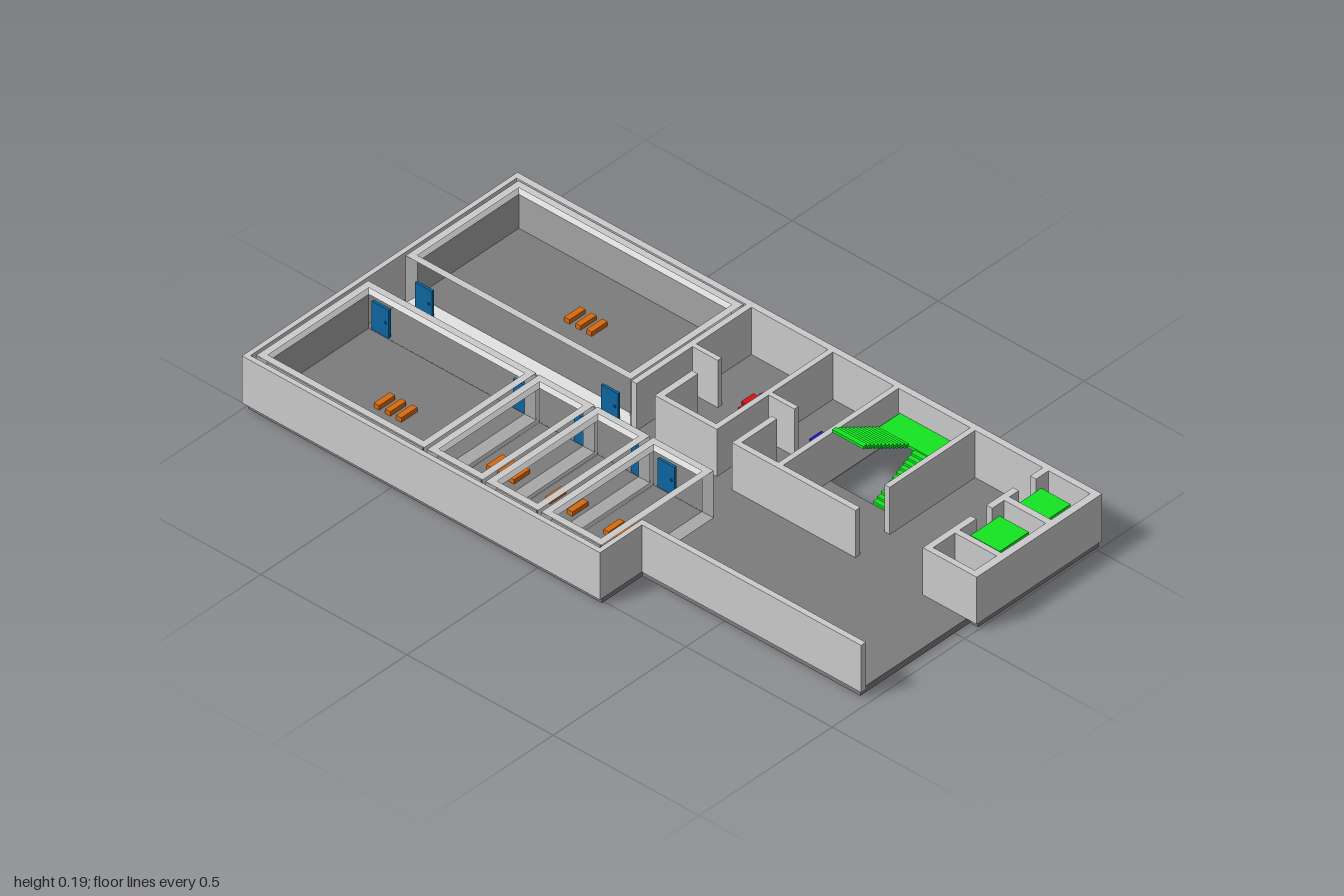
import * as THREE from 'three';

const mat = (color, side = THREE.FrontSide) => new THREE.MeshStandardMaterial({ color, side, flatShading: true });
const grey = mat(0xcccccc), greyThin = mat(0xcccccc, THREE.DoubleSide);
const floorMat = mat(0x7c7c7c), panelMat = mat(0xa4a4a4);
const green = mat(0x14e622), blue = mat(0x0c66a0), orange = mat(0xd96a0c);
const FLOOR = 0.02, TOP = 0.17;

// Box given by its limits on each axis
function block(name, [x0, x1], [y0, y1], [z0, z1], material) {
  const mesh = new THREE.Mesh(new THREE.BoxGeometry(x1 - x0, y1 - y0, z1 - z0), material);
  mesh.position.set((x0 + x1) / 2, (y0 + y1) / 2, (z0 + z1) / 2);
  mesh.name = name;
  return mesh;
}

// Mitred frame: twelve slanted strips joining a box's outer edges to its inner edges
function mitredFrame(w, h, d, t) {
  const half = [w / 2, h / 2, d / 2], pos = [];
  for (let k = 0; k < 3; k++) {
    const i = (k + 1) % 3, j = (k + 2) % 3;
    for (const si of [-1, 1]) for (const sj of [-1, 1]) {
      const corner = (sk, inset) => {
        const p = [0, 0, 0];
        p[k] = sk * (half[k] - inset);
        p[i] = si * (half[i] - inset);
        p[j] = sj * (half[j] - inset);
        return p;
      };
      const a = corner(-1, 0), b = corner(1, 0), c = corner(1, t), e = corner(-1, t);
      pos.push(...a, ...b, ...c, ...a, ...c, ...e);
    }
  }
  const geo = new THREE.BufferGeometry();
  geo.setAttribute('position', new THREE.Float32BufferAttribute(pos, 3));
  geo.computeVertexNormals();
  return geo;
}

// Flat rim closing the top of a room frame
function topRim(w, d, t) {
  const rect = (a, b) => [[-a, -b], [a, -b], [a, b], [-a, b]].map(([x, y]) => new THREE.Vector2(x, y));
  const shape = new THREE.Shape(rect(w / 2, d / 2));
  shape.holes.push(new THREE.Path(rect(w / 2 - t, d / 2 - t)));
  return new THREE.ShapeGeometry(shape).rotateX(-Math.PI / 2);
}

// Room: open mitred frame, floor, panels against the outer walls, and a plain marker of three bars
function room([x0, x1], [z0, z1], markX, markZ, outerSide, hasBack) {
  const g = new THREE.Group(), t = 0.021, thin = 0.004;
  const w = x1 - x0, d = z1 - z0, cx = (x0 + x1) / 2, cz = (z0 + z1) / 2;
  const frame = new THREE.Mesh(mitredFrame(w, TOP - FLOOR, d, t), greyThin);
  frame.name = 'roomFrame';
  frame.position.set(cx, (FLOOR + TOP) / 2, cz);
  const rim = new THREE.Mesh(topRim(w, d, t), greyThin);
  rim.name = 'roomRim';
  rim.position.set(cx, TOP, cz);
  g.add(frame, rim);

  const xs = [x0 + t, x1 - t], ys = [FLOOR + t, TOP - t], zs = [z0 + t, z1 - t];
  g.add(block('roomFloor', xs, [ys[0] - thin, ys[0]], zs, floorMat));
  const px = outerSide < 0 ? xs[0] - thin : xs[1];
  g.add(block('sidePanel', [px, px + thin], ys, zs, panelMat));
  if (hasBack) g.add(block('backPanel', xs, ys, [zs[0] - thin, zs[0]], panelMat));

  for (const k of [-1, 0, 1]) {
    const z = markZ + k * 0.038;
    g.add(block('floorMarker', [markX - 0.03, markX + 0.03], [ys[0], 0.055], [z - 0.009, z + 0.009], orange));
  }
  g.name = 'room';
  return g;
}

// Flat figure lying on the floor, head towards +x
function figure(z, color) {
  const g = new THREE.Group(), m = mat(color);
  g.add(
    block('figureLegs', [0.3, 0.34], [0.02, 0.03], [z - 0.01, z + 0.01], m),
    block('figureBody', [0.325, 0.37], [0.02, 0.03], [z - 0.022, z + 0.022], m));
  const head = new THREE.Mesh(new THREE.CylinderGeometry(0.01, 0.01, 0.01, 16), m);
  head.position.set(0.38, 0.025, z);
  head.name = 'figureHead';
  g.add(head);
  g.name = 'floorFigure';
  return g;
}

function floorSlab() {
  // Shape y is -z so that the extrusion points up after rotation
  const outline = [[-0.508, -0.99], [0.513, -0.99], [0.513, 0.993], [0.058, 0.993], [0.058, 0.965],
    [-0.355, 0.965], [-0.355, 0.22], [-0.508, 0.22]];
  const toV = ([x, z]) => new THREE.Vector2(x, -z);
  const shape = new THREE.Shape(outline.map(toV));
  shape.holes.push(new THREE.Path([[0.24, 0.325], [0.495, 0.325], [0.495, 0.565], [0.24, 0.565]].map(toV)));
  const geo = new THREE.ExtrudeGeometry(shape, { depth: FLOOR, bevelEnabled: false });
  geo.rotateX(-Math.PI / 2);
  const mesh = new THREE.Mesh(geo, floorMat);
  mesh.name = 'floorSlab';
  return mesh;
}

function stairs() {
  const g = new THREE.Group(), n = 12, tread = 0.17 / n, rise = 0.0078;
  for (let i = 0; i < n; i++) {
    const x = 0.24 + i * tread;
    const up = 0.187 - i * rise, low = 0.009 + i * rise * 0.95;
    g.add(block('upperStep', [x, x + tread], [up - 0.009, up], [0.328, 0.435], green));
    g.add(block('lowerStep', [x, x + tread], [low - 0.009, low], [0.456, 0.565], green));
  }
  g.add(block('landing', [0.41, 0.495], [0.086, 0.095], [0.328, 0.565], green));
  g.name = 'stairs';
  return g;
}

export function createModel() {
  const model = new THREE.Group();
  model.name = 'floorPlan';
  model.add(floorSlab());

  // Walls as [x0, x1, z0, z1]
  const walls = {
    outerWall: [
      [-0.521, 0.517, -1, -0.985], [-0.521, -0.505, -0.985, 0.225], [0.497, 0.517, -0.985, 0.977],
      [-0.505, -0.345, 0.21, 0.225], [-0.363, -0.345, 0.225, 0.975]],
    innerWall: [
      [0.065, 0.497, -0.2, -0.182], [0.275, 0.29, -0.182, -0.095], [0.06, 0.2, -0.115, -0.095],
      [0.06, 0.077, -0.095, 0.08], [0.06, 0.497, 0.08, 0.097], [0.255, 0.27, 0.097, 0.185],
      [0.045, 0.195, 0.162, 0.18], [0.045, 0.063, 0.18, 0.585], [0.063, 0.497, 0.305, 0.322],
      [0.175, 0.497, 0.567, 0.584]],
    liftWall: [
      [0.045, 0.063, 0.835, 0.977], [0.045, 0.517, 0.977, 1],
      [0.145, 0.163, 0.835, 0.977], [0.33, 0.35, 0.835, 0.977],
      [0.045, 0.225, 0.815, 0.835], [0.285, 0.385, 0.815, 0.835], [0.45, 0.497, 0.815, 0.835]],
  };
  for (const [name, list] of Object.entries(walls))
    for (const [x0, x1, z0, z1] of list)
      model.add(block(name, [x0, x1], [FLOOR, TOP], [z0, z1], grey));

  // Rooms on both sides of the corridor
  const leftRow = [[-0.975, -0.4, -0.675], [-0.39, -0.2, -0.29], [-0.19, -0.01, -0.09], [0, 0.207, 0.11]];
  leftRow.forEach(([z0, z1, markZ], i) => model.add(room([-0.495, -0.073], [z0, z1], -0.3, markZ, -1, i === 0)));
  model.add(room([0.068, 0.492], [-0.975, -0.205], 0.29, -0.56, 1, true));

  // Doors with small handles
  const doors = [[-0.068, -0.935], [-0.068, -0.452], [-0.068, -0.242], [-0.068, -0.048], [-0.068, 0.043],
    [0.064, -0.907], [0.064, -0.27]];
  for (const [x, z] of doors) {
    model.add(block('door', [x - 0.004, x + 0.004], [FLOOR, 0.11], [z - 0.029, z + 0.029], blue));
    model.add(block('doorHandle', [x - 0.007, x + 0.007], [0.063, 0.069], [z + 0.016, z + 0.022], blue));
  }

  model.add(stairs());

  // Lift cabins
  for (const x of [0.203, 0.36])
    model.add(block('liftCabin', [x, x + 0.11], [FLOOR, 0.13], [0.835, 0.935], green));

  model.add(figure(-0.038, 0xd01414), figure(0.195, 0x1414c0));
  return model;
}
